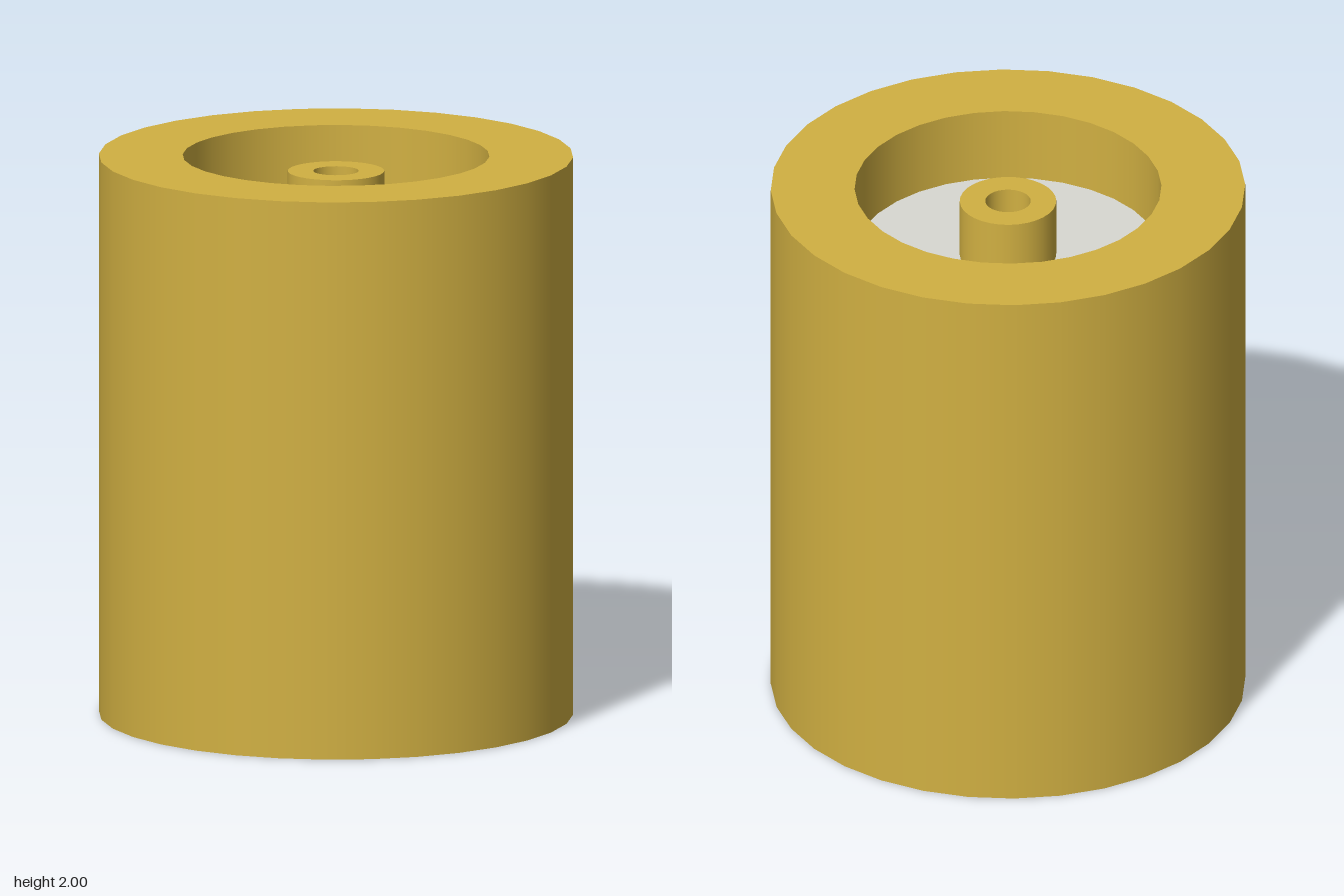
import * as THREE from 'three';

const SIDES = 32;
const TOP = 2, FLOOR = 1.73, HUB_TOP = 1.945;
const R_OUTER = 0.835, R_WELL = 0.54, R_HUB = 0.17, R_BORE = 0.08;

export function createModel() {
  const group = new THREE.Group();
  const material = (name, color) => {
    const m = new THREE.MeshStandardMaterial({ color, side: THREE.DoubleSide });
    m.name = name;
    return m;
  };
  const gold = material('gold', 0xd1b042);
  const grey = material('light grey', 0xd8d8d2);
  const black = material('black', 0x101010);

  const add = (name, geometry, mat) => {
    const mesh = new THREE.Mesh(geometry, mat);
    mesh.name = name;
    group.add(mesh);
  };
  // open upright wall between two heights
  const wall = (name, r, y0, y1) => add(name,
    new THREE.CylinderGeometry(r, r, y1 - y0, SIDES, 1, true).translate(0, (y0 + y1) / 2, 0), gold);
  // flat ring facing up
  const ring = (name, inner, outer, y, mat) => add(name,
    new THREE.RingGeometry(inner, outer, SIDES).rotateX(-Math.PI / 2).translate(0, y, 0), mat);

  // hollow body, open at the bottom
  wall('outerShell', R_OUTER, 0, TOP);
  ring('topRim', R_WELL, R_OUTER, TOP, gold);

  // recessed well with a pale floor
  wall('wellWall', R_WELL, FLOOR, TOP);
  ring('wellFloor', R_HUB, R_WELL, FLOOR, grey);

  // central hub with a dark bore
  wall('hubWall', R_HUB, FLOOR, HUB_TOP);
  ring('hubTop', R_BORE, R_HUB, HUB_TOP, gold);
  wall('boreWall', R_BORE, FLOOR, HUB_TOP);
  add('boreFloor',
    new THREE.CircleGeometry(R_BORE, SIDES).rotateX(-Math.PI / 2).translate(0, FLOOR, 0), black);

  return group;
}
